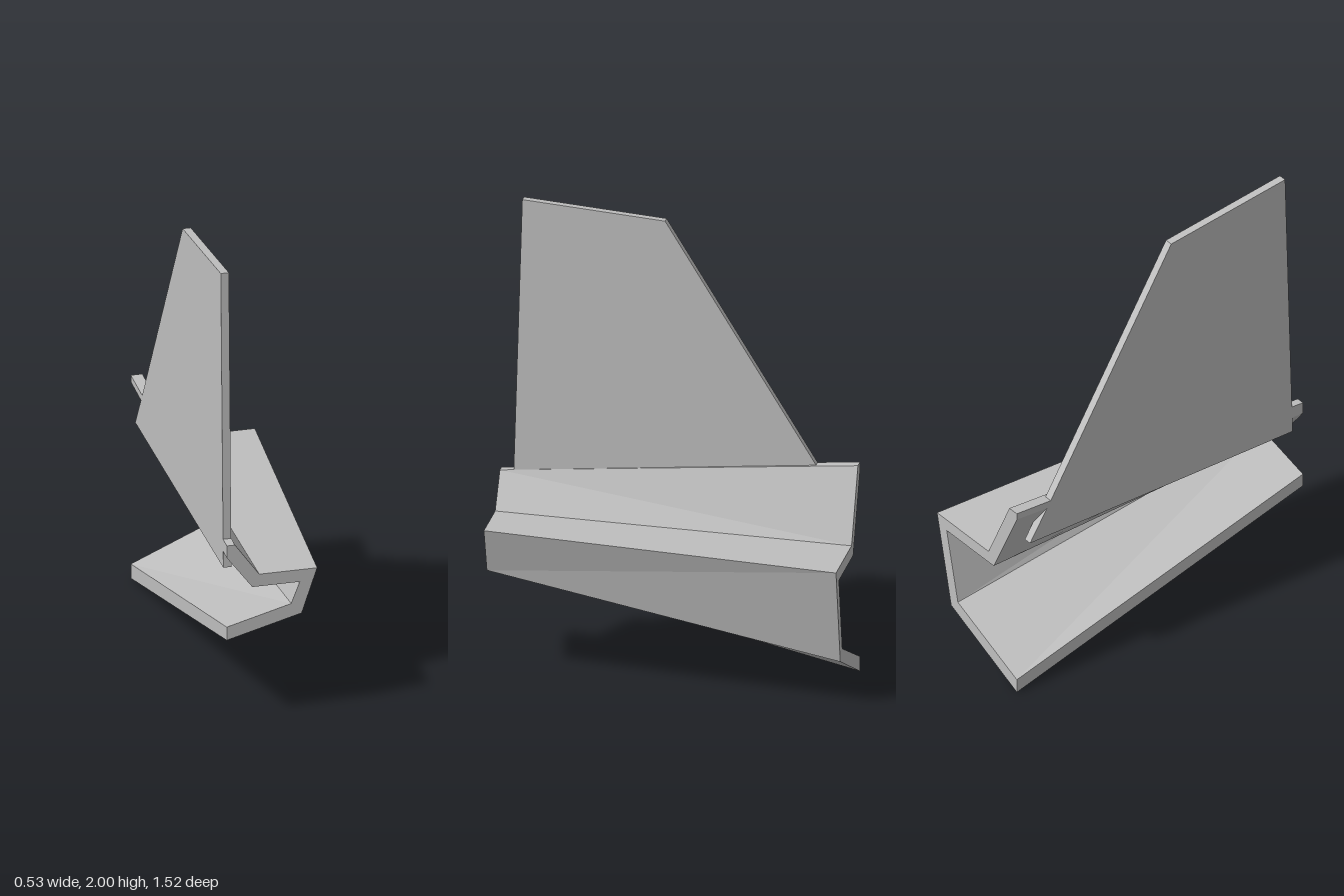
import * as THREE from 'three';

// Cross-sections [x, y], clockwise from the upper lip: outer skin, then back along the inner skin
const FRONT = [
  [-0.27, 0.8], [-0.235, 0.8], [-0.13, 0.655], [0.12, 0.655], [0.053, 0.457], [-0.27, 0.37],
  [-0.27, 0.43], [0.008, 0.505], [0.045, 0.6], [-0.16, 0.6], [-0.27, 0.745],
];
const BACK = [
  [-0.27, 0.925], [-0.22, 0.925], [-0.08, 0.62], [0.265, 0.62], [0.17, 0.195], [-0.27, 0.0],
  [-0.27, 0.065], [0.125, 0.237], [0.2, 0.565], [-0.115, 0.565], [-0.27, 0.895],
];
const HALF_LENGTH = 0.76;

// Folded shell lofted straight between the two sections, with closed ends
function shellGeometry() {
  const n = FRONT.length;
  const positions = [];
  const front = (i) => [...FRONT[i % n], HALF_LENGTH];
  const back = (i) => [...BACK[i % n], -HALF_LENGTH];
  const tri = (...corners) => corners.forEach((p) => positions.push(...p));

  for (let i = 0; i < n; i++) {
    const a = front(i), b = front(i + 1), c = back(i + 1), d = back(i);
    if (i === 1) { // the upper slope folds along the other diagonal
      tri(a, b, c);
      tri(a, c, d);
    } else {
      tri(a, b, d);
      tri(b, c, d);
    }
  }

  // End faces, as strips joining the outer skin to the inner skin
  for (let k = 0; k < 5; k++) {
    const [o0, i0, i1, o1] = [k, 11 - k, 10 - k, k + 1];
    if (k > 0) {
      tri(front(o0), front(i0), front(i1));
      tri(back(o0), back(i1), back(i0));
    }
    tri(front(o0), front(i1), front(o1));
    tri(back(o0), back(o1), back(i1));
  }

  const geometry = new THREE.BufferGeometry();
  geometry.setAttribute('position', new THREE.Float32BufferAttribute(positions, 3));
  geometry.computeVertexNormals();
  return geometry;
}

// Upright plate, drawn as [z, y] and extruded along x
function finGeometry() {
  const outline = [
    [0.705, 0.677], [0.665, 2.0], [0.06, 1.945], [-0.58, 0.91], [-0.69, 0.74],
  ];
  const shape = new THREE.Shape(outline.map(([z, y]) => new THREE.Vector2(-z, y)));
  const geometry = new THREE.ExtrudeGeometry(shape, { depth: 0.035, bevelEnabled: false });
  geometry.rotateY(Math.PI / 2); // shape x becomes -z, depth becomes +x
  geometry.translate(-0.27, 0, 0);
  return geometry;
}

export function createModel() {
  const grey = new THREE.MeshStandardMaterial({ color: 0xbfbfbf, flatShading: true });
  grey.name = 'plain grey';

  const model = new THREE.Group();
  model.name = 'finnedBracket';

  const parts = { foldedShell: shellGeometry(), uprightFin: finGeometry() };
  for (const [name, geometry] of Object.entries(parts)) {
    const mesh = new THREE.Mesh(geometry, grey);
    mesh.name = name;
    model.add(mesh);
  }
  return model;
}
